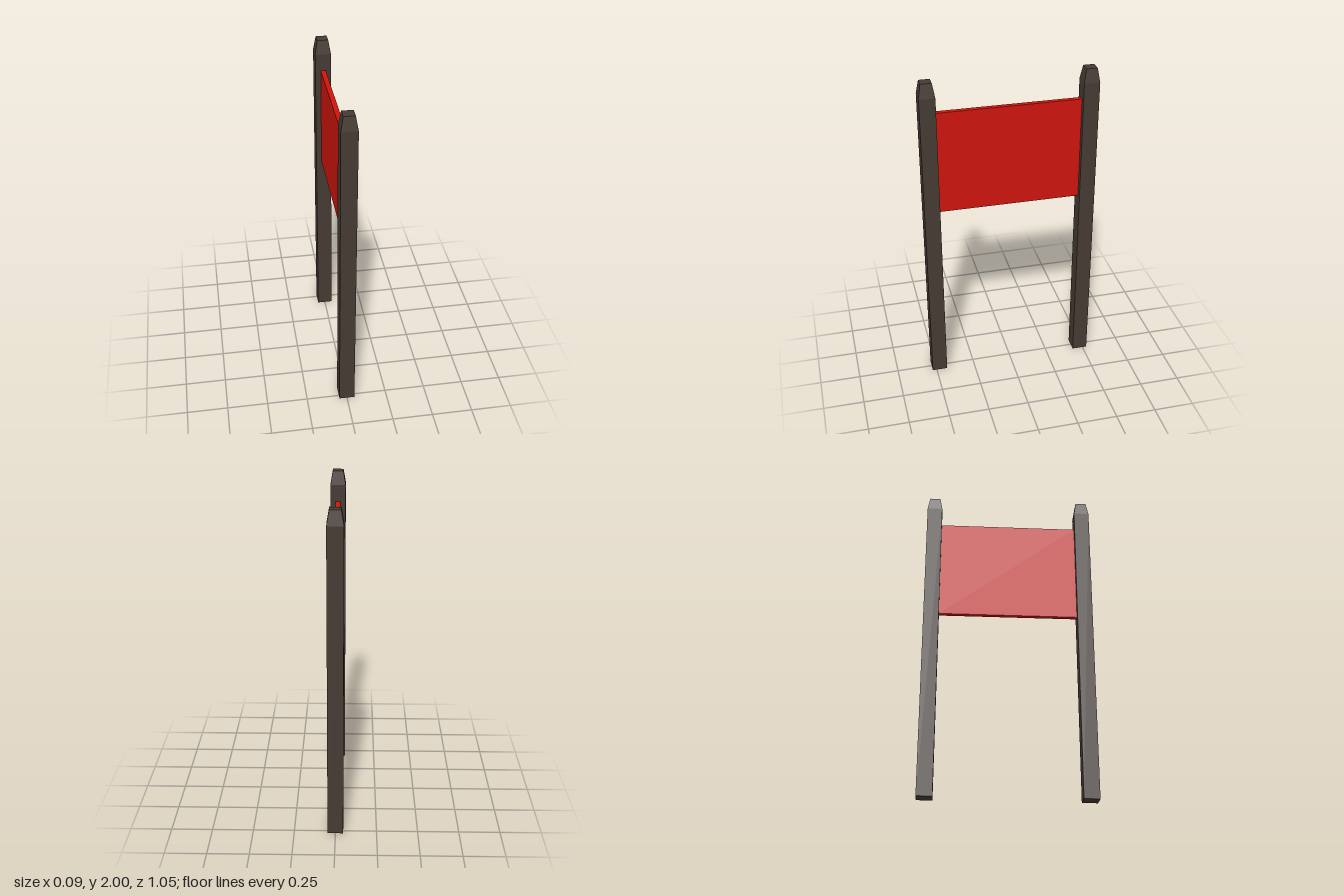
import * as THREE from 'three';

const POST = { width: 0.095, height: 2, shoulder: 1.915, topWidth: 0.066, z: 0.479 };
const PANEL = { thickness: 0.03, bottom: 1.17, top: 1.81 };

// Square post whose top end tapers to a smaller flat cap
function postGeometry() {
  const geo = new THREE.BoxGeometry(POST.width, POST.height, POST.width, 1, 2, 1);
  geo.translate(0, POST.height / 2, 0);
  const pos = geo.attributes.position;
  const taper = POST.topWidth / POST.width;
  for (let i = 0; i < pos.count; i++) {
    const y = pos.getY(i);
    if (y > POST.height - 0.01) {
      pos.setX(i, pos.getX(i) * taper);
      pos.setZ(i, pos.getZ(i) * taper);
    } else if (y > 0.01) {
      pos.setY(i, POST.shoulder);
    }
  }
  const flat = geo.toNonIndexed();
  flat.computeVertexNormals();
  return flat;
}

export function createModel() {
  const model = new THREE.Group();
  model.name = 'signBoard';
  const wood = new THREE.MeshStandardMaterial({ color: 0x453a33, flatShading: true });
  const red = new THREE.MeshStandardMaterial({ color: 0xcc150c, flatShading: true });

  // Two posts, mirrored front to back
  const geo = postGeometry();
  for (const side of [1, -1]) {
    const post = new THREE.Mesh(geo, wood);
    post.name = side > 0 ? 'frontPost' : 'backPost';
    post.position.z = side * POST.z;
    model.add(post);
  }

  // Thin board spanning between the inner faces of the posts
  const span = 2 * POST.z - POST.width;
  const panel = new THREE.Mesh(
    new THREE.BoxGeometry(PANEL.thickness, PANEL.top - PANEL.bottom, span), red);
  panel.name = 'panel';
  panel.position.y = (PANEL.top + PANEL.bottom) / 2;
  model.add(panel);

  return model;
}
